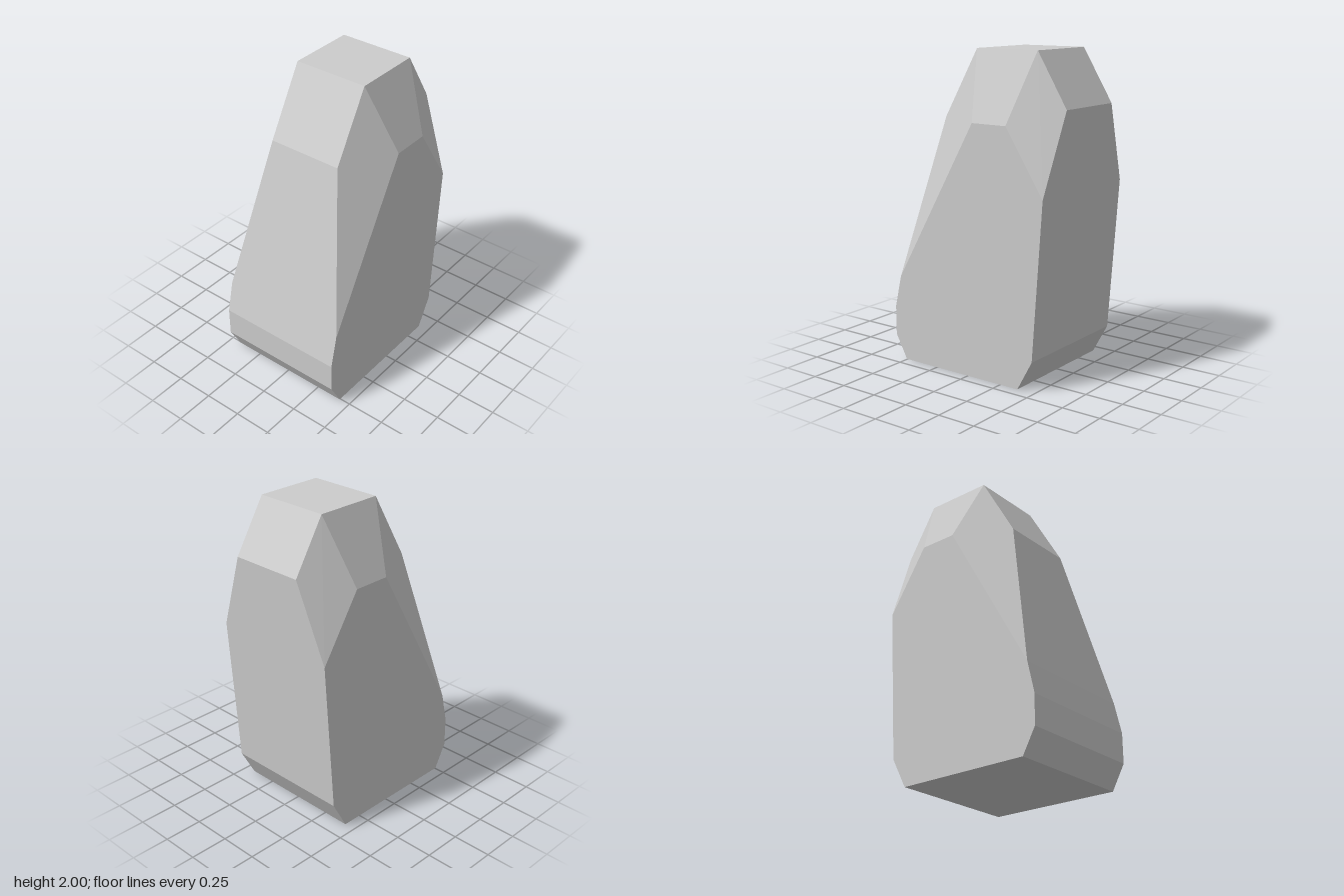
import * as THREE from 'three';
import { ConvexGeometry } from 'three/addons/geometries/ConvexGeometry.js';

export function createModel() {
  const group = new THREE.Group();
  group.name = 'facetedBlock';

  const W = 0.427; // half width of the body
  const T = 0.245; // half width of the tapered crown

  // Corners of one half as [x, y, z]
  const corners = [
    // base and its bevels
    [W, 0, 0.505], [W, 0, -0.378],
    [W, 0.155, 0.59], [W, 0.345, 0.59], [W, 0.19, -0.482],
    // upper outline of the flat side
    [W, 0.55, 0.542], [W, 1.575, -0.045], [W, 1.575, -0.29], [W, 1.172, -0.553],
    // narrow crown
    [T, 1.575, 0.3], [T, 2, 0.055], [T, 2, -0.387], [T, 1.67, -0.59],
  ];

  // Mirror the corners and wrap them in a faceted convex skin
  const points = corners.flatMap(([x, y, z]) => [
    new THREE.Vector3(x, y, z),
    new THREE.Vector3(-x, y, z),
  ]);
  const body = new THREE.Mesh(
    new ConvexGeometry(points),
    new THREE.MeshStandardMaterial({ color: 0xcccccc, flatShading: true }),
  );
  body.name = 'body';
  group.add(body);
  return group;
}
